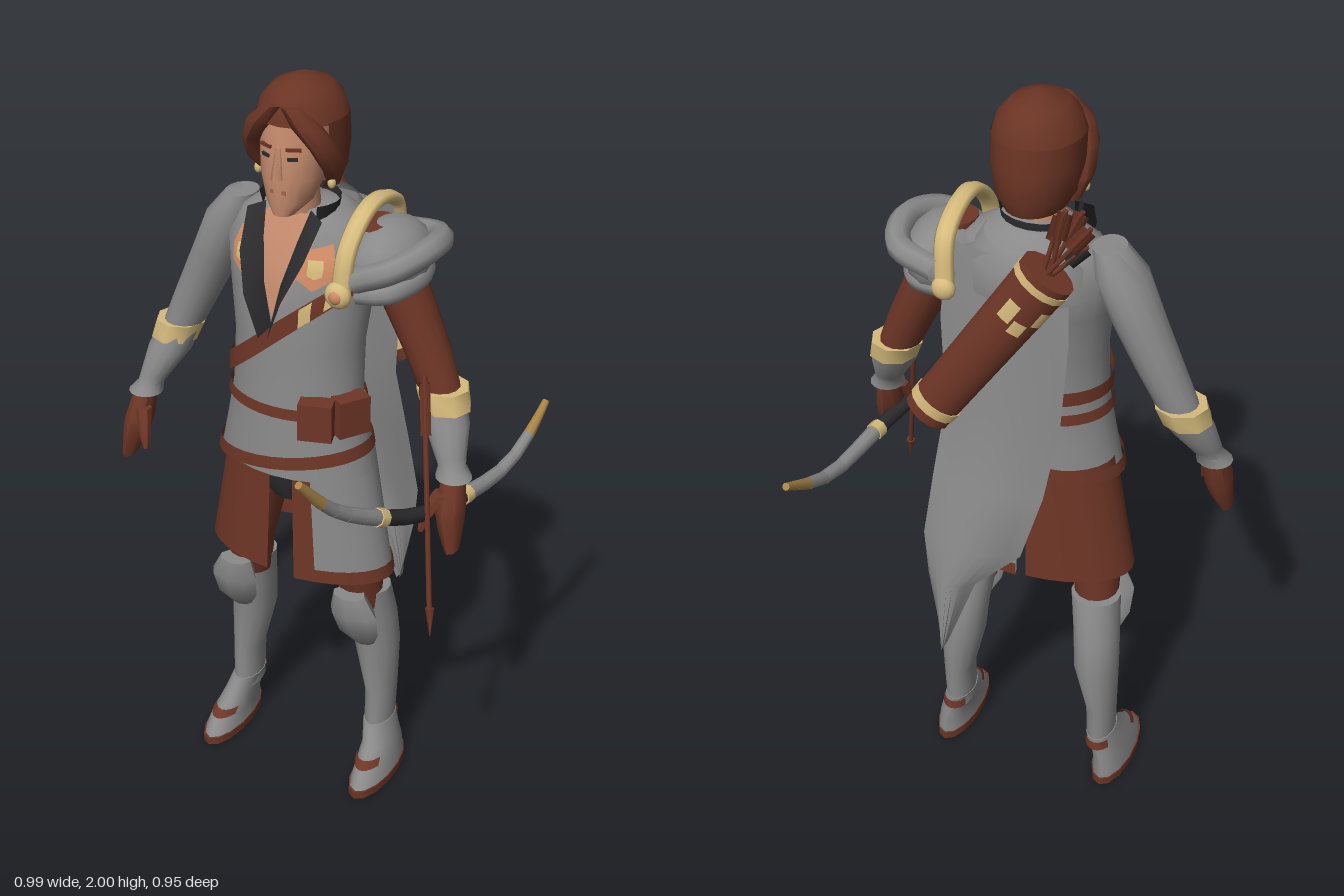
import * as THREE from 'three';
import { toCreasedNormals } from 'three/addons/utils/BufferGeometryUtils.js';

export function createModel() {
  const root = new THREE.Group();
  const mat = (name, color) => new THREE.MeshStandardMaterial({ name, color, side: THREE.DoubleSide });
  const grey = mat('grey cloth', 0x8a8a8a), brown = mat('brown leather', 0x6e3626), gold = mat('pale gold', 0xd6bb7c);
  const skin = mat('skin', 0xc48a6c), black = mat('black cloth', 0x2b2b2d), salmon = mat('salmon lining', 0xd08a64);
  const tan = mat('tan horn', 0xa98546), hairBrown = mat('hair', 0x6a3424), lip = mat('lips', 0xa8624c);

  const add = (name, geo, m, parent = root) => {
    const mesh = new THREE.Mesh(geo, m);
    mesh.name = name;
    parent.add(mesh);
    return mesh;
  };

  // Surface through rows of points (rows run upward, points run from front toward +x)
  function grid(name, m, rows) {
    const w = rows[0].length, idx = [];
    for (let i = 0; i < rows.length - 1; i++) for (let j = 0; j < w - 1; j++) {
      const a = i * w + j, c = a + w;
      idx.push(a, a + 1, c, a + 1, c + 1, c);
    }
    const g = new THREE.BufferGeometry();
    g.setAttribute('position', new THREE.Float32BufferAttribute(rows.flat(2), 3));
    g.setIndex(idx);
    return add(name, toCreasedNormals(g, 0.9), m);
  }

  // Elliptical rings [x, y, z, rx, rz], optionally an open arc; closed ones get caps
  const oval = ([x, y, z, rx, rz], a) => [x + rx * Math.sin(a), y, z + rz * Math.cos(a)];
  function loft(name, m, rings, s = 1, a0 = 0, a1 = Math.PI * 2, n = 14) {
    let r = rings.map(([x, ...rest]) => [x * s, ...rest]);
    if (r[0][1] > r[r.length - 1][1]) r.reverse();
    if (a1 - a0 > 6.28) {
      const cap = (q) => [q[0], q[1], q[2], 0, 0];
      r = [cap(r[0]), ...r, cap(r[r.length - 1])];
    }
    return grid(name, m, r.map((q) => Array.from({ length: n + 1 }, (_, j) => oval(q, a0 + (a1 - a0) * j / n))));
  }

  // Tapered rod between two points
  function rod(name, m, a, b, ra, rb = ra, n = 6) {
    const A = new THREE.Vector3(...a), B = new THREE.Vector3(...b), d = B.clone().sub(A);
    const mesh = add(name, new THREE.CylinderGeometry(rb, ra, d.length(), n), m);
    mesh.position.copy(A).add(B).multiplyScalar(0.5);
    mesh.quaternion.setFromUnitVectors(new THREE.Vector3(0, 1, 0), d.normalize());
    return mesh;
  }
  const curve = (pts) => new THREE.CatmullRomCurve3(pts.map((p) => new THREE.Vector3(...p)));
  const ball = (name, m, p, sx, sy, sz) => {
    const mesh = add(name, new THREE.SphereGeometry(1, 14, 10), m);
    mesh.position.set(...p);
    mesh.scale.set(sx, sy, sz);
    return mesh;
  };

  // Torso, with a helper that lays thin patches over it
  const torso = [[0, 1.0, -.02, .21, .14], [0, 1.1, -.02, .19, .135], [0, 1.2, -.02, .172, .13], [0, 1.35, -.03, .17, .13],
    [0, 1.48, -.04, .185, .14], [0, 1.58, -.06, .205, .135], [0, 1.65, -.07, .17, .11], [0, 1.69, -.06, .09, .08]];
  loft('tunic', grey, torso, 1, 0, Math.PI * 2, 24);
  const onTorso = (a, y, o) => {
    let i = 0;
    while (i < torso.length - 2 && torso[i + 1][1] < y) i++;
    const p = torso[i], q = torso[i + 1], t = (y - p[1]) / (q[1] - p[1]);
    const r = p.map((v, k) => v + (q[k] - v) * t);
    return oval([0, y, r[2], r[3] + o, r[4] + o], a);
  };
  function patch(name, m, a0, a1, low, high, o = .008) {
    const n = Math.max(6, Math.ceil((a1 - a0) / .2));
    grid(name, m, [0, .25, .5, .75, 1].map((v) => Array.from({ length: n + 1 }, (_, j) => {
      const a = a0 + (a1 - a0) * j / n;
      return onTorso(a, low(a) + (high(a) - low(a)) * v, o);
    })));
  }
  const band = (name, m, a0, a1, mid, w, o) => patch(name, m, a0, a1, (a) => mid(a) - w / 2, (a) => mid(a) + w / 2, o);
  band('tunicHem', brown, 0, Math.PI * 2, (a) => 1.04 + .035 * Math.sin(a), .035);
  band('belt', brown, 0, Math.PI * 2, (a) => 1.185, .03);
  const strapY = (a) => 1.395 + .16 * Math.sin(a);
  band('chestStrap', brown, -1.15, 1.1, strapY, .055, .012);
  band('strapOrnament', gold, .35, .5, strapY, .05, .016);
  band('strapOrnament', gold, .66, .78, strapY, .04, .016);
  band('backStrap', brown, -2.9, -1.15, (a) => 1.25, .04, .01);
  patch('bareChest', skin, -.5, .5, (a) => 1.43 + Math.abs(a) * .45, () => 1.685);
  for (const s of [-1, 1]) {
    const c = s * .47;
    patch('lapel', salmon, c - .22, c + .22, (a) => 1.52 + .12 * Math.abs(a - c), (a) => 1.61 + .05 * (Math.abs(a) - .3), .013);
    patch('lapelOrnament', gold, c - .1, c + .08, (a) => 1.55 + .1 * Math.abs(a - c), () => 1.595, .018);
    // Dark V collar standing off the chest
    grid('collarFront', black, [
      [[0, 1.42, .115], [s * .012, 1.405, .16]], [[s * .022, 1.53, .11], [s * .05, 1.51, .16]],
      [[s * .045, 1.63, .07], [s * .085, 1.6, .115]], [[s * .06, 1.7, .03], [s * .1, 1.685, .05]]]);
  }
  loft('collarBack', black, [[0, 1.62, -.04, .08, .075], [0, 1.71, -.03, .1, .09]], 1, .85, Math.PI * 2 - .85);
  loft('cowl', grey, [[0, 1.55, -.1, .17, .125], [0, 1.63, -.1, .15, .135], [0, 1.68, -.09, .11, .11]], 1, .9, Math.PI * 2 - .9);
  for (const [x, z, r] of [[.115, .1, .3], [.175, .035, 1]]) {
    const pouch = add('pouch', new THREE.BoxGeometry(.085, .1, .05), brown);
    pouch.position.set(x, 1.185, z);
    pouch.rotation.y = r;
  }

  // Head
  loft('neck', skin, [[0, 1.58, -.03, .06, .06], [0, 1.74, -.015, .05, .055]]);
  loft('face', skin, [[0, 1.69, .05, .026, .03], [0, 1.72, .02, .055, .063], [0, 1.78, 0, .077, .085],
    [0, 1.85, -.01, .085, .09], [0, 1.93, -.02, .08, .085]], 1, 0, Math.PI * 2, 18);
  loft('nose', skin, [[0, 1.785, .078, .016, .026], [0, 1.8, .078, .014, .022], [0, 1.86, .073, .008, .01]], 1, 0, Math.PI * 2, 6);
  add('mouth', new THREE.BoxGeometry(.04, .01, .008), lip).position.set(0, 1.752, .078);
  loft('hairTop', hairBrown, [[0, 1.91, -.04, .108, .118], [0, 1.95, -.04, .095, .108], [0, 1.98, -.04, .068, .08], [0, 2, -.04, .02, .025]], 1, 0, Math.PI * 2, 18);
  loft('hairBack', hairBrown, [[0, 1.74, -.055, .075, .1], [0, 1.78, -.05, .098, .12], [0, 1.85, -.045, .108, .125], [0, 1.915, -.04, .108, .12]], 1, 1.1, Math.PI * 2 - 1.1);
  for (const s of [-1, 1]) {
    loft('hairLock', hairBrown, [[.02, 1.955, .055, .025, .025], [.06, 1.91, .05, .037, .035], [.09, 1.86, .028, .027, .042],
      [.1, 1.8, -.01, .02, .045], [.085, 1.75, -.035, .014, .02]], s, 0, Math.PI * 2, 8);
    const brow = add('eyebrow', new THREE.BoxGeometry(.036, .007, .008), hairBrown);
    brow.position.set(s * .036, 1.858, .07);
    brow.rotation.y = s * .4;
    const eye = add('eye', new THREE.BoxGeometry(.024, .008, .006), black);
    eye.position.set(s * .035, 1.836, .073);
    eye.rotation.y = s * .4;
    ball('earring', gold, [s * .098, 1.765, .0], .01, .014, .01);
  }

  // Arms, hands, legs and feet
  for (const s of [-1, 1]) {
    loft('upperArm', s > 0 ? brown : grey, [[.185, 1.665, -.07, .04, .05], [.213, 1.6, -.07, .066, .075], [.265, 1.48, -.075, .066, .066],
      [.322, 1.36, -.075, .06, .058], [.375, 1.24, -.065, .052, .05]], s);
    loft('forearm', grey, [[.372, 1.25, -.065, .056, .056], [.397, 1.19, -.045, .058, .056], [.425, 1.12, -.015, .04, .042],
      [.435, 1.095, -.005, .034, .036], [.445, 1.07, .005, .046, .045]], s);
    const cuff = loft('elbowCuff', gold, [[.388, 1.215, -.06, .064, .064], [.372, 1.265, -.068, .068, .066]], s, 0, Math.PI * 2, 8);
    cuff.position.y = .005;
    loft('hand', brown, [[.445, 1.08, .005, .03, .03], [.452, 1.0, .03, .036, .052], [.46, .95, .04, .03, .046], [.472, .895, .055, .016, .03]], s, 0, Math.PI * 2, 8);
    loft('thumb', brown, [[.43, 1.04, .045, .022, .022], [.407, .98, .078, .015, .016], [.4, .945, .085, .008, .01]], s, 0, Math.PI * 2, 6);

    loft('thigh', brown, [[.11, .97, -.04, .08, .1], [.14, .8, -.04, .075, .09], [.162, .67, -.045, .064, .072], [.172, .56, -.07, .055, .055]], s);
    loft('boot', grey, [[.21, .12, -.11, .036, .062], [.21, .25, -.115, .04, .06], [.193, .4, -.118, .06, .07],
      [.187, .5, -.105, .062, .068], [.174, .61, -.08, .066, .062]], s);
    loft('kneePlate', grey, [[.19, .445, -.04, .03, .02], [.186, .5, -.01, .06, .035], [.182, .57, .012, .067, .042], [.172, .63, .018, .045, .032]], s, 0, Math.PI * 2, 8);
    loft('foot', grey, [[.234, .018, -.05, .051, .135], [.232, .06, -.065, .045, .115], [.224, .1, -.092, .041, .082], [.21, .155, -.11, .039, .066]], s);
    loft('sole', brown, [[.234, 0, -.05, .053, .139], [.234, .022, -.05, .053, .139]], s);
    loft('heelStrap', brown, [[.214, .125, -.11, .044, .074], [.212, .15, -.11, .042, .07]], s, 2.3, 4, 6);
    loft('instepStrap', brown, [[.23, .068, -.065, .046, .113], [.227, .085, -.075, .045, .1]], s, -.9, .9, 6);
  }

  // Split skirt, brown on one side and grey with a brown border on the other
  const skirt = (y, o = 0) => {
    const t = (1.04 - y) / .35;
    return [0, y, -.04, .2 + .06 * t + o, .125 + .01 * t + o];
  };
  const skirtPart = (name, m, y0, y1, a0, a1, o) => loft(name, m, [skirt(y0, o), skirt(y1, o)], 1, a0, a1);
  skirtPart('rightSkirt', brown, .69, 1.04, -Math.PI + .05, -.12);
  skirtPart('leftSkirt', grey, .69, 1.05, .2, Math.PI - .05);
  skirtPart('leftSkirtHem', brown, .688, .725, .2, Math.PI - .05, .005);
  skirtPart('leftSkirtBorder', brown, .69, 1.04, .19, .42, .005);
  loft('shorts', black, [[0, .89, -.04, .08, .09], [0, .95, -.04, .15, .11], [0, 1.03, -.04, .17, .11]]);

  // Pointed half cape: rows of [y, right edge, left edge, z]
  const cape = [[.49, .165, .172, -.285], [.7, .09, .22, -.265], [.82, -.03, .235, -.25], [1, -.08, .215, -.22],
    [1.2, -.11, .19, -.185], [1.45, -.13, .195, -.185], [1.66, -.12, .18, -.165]];
  grid('cape', grey, cape.map(([y, r, l, z]) => Array.from({ length: 9 }, (_, j) =>
    [l + (r - l) * j / 8, y, z - .035 * Math.sin(Math.PI * j / 8)])));

  // Left shoulder armour with a gold arch
  ball('pauldronDome', grey, [.215, 1.575, -.08], .1, .095, .135);
  const rim = (pts, r) => add('pauldronRim', new THREE.TubeGeometry(curve(pts), 20, r, 8), grey);
  rim([[.19, 1.56, .06], [.28, 1.6, .045], [.33, 1.625, -.06], [.3, 1.61, -.17], [.19, 1.59, -.205]], .032);
  rim([[.19, 1.52, .04], [.26, 1.53, .03], [.292, 1.535, -.08], [.26, 1.53, -.165], [.19, 1.53, -.18]], .028);
  const arch = add('shoulderArch', new THREE.TubeGeometry(curve([[0, 1.53, .085], [.002, 1.63, .065], [.006, 1.7, .0],
    [.006, 1.712, -.08], [.004, 1.67, -.18], [0, 1.55, -.21]]), 24, .016, 8), gold);
  arch.scale.x = 1.6;
  arch.position.x = .17;
  ball('frontMedallion', gold, [.165, 1.53, .09], .034, .034, .022);
  ball('medallionCentre', salmon, [.165, 1.53, .1], .02, .02, .016);
  ball('backMedallion', gold, [.17, 1.55, -.215], .03, .03, .02);

  // Quiver slung across the back
  const quiver = new THREE.Group();
  quiver.name = 'quiver';
  quiver.position.set(.045, 1.455, -.265);
  quiver.rotation.z = .593;
  quiver.scale.z = .68;
  root.add(quiver);
  const tube = (name, m, y, h, r) => { add(name, new THREE.CylinderGeometry(r + h * .015, r, h, 14), m, quiver).position.y = y; };
  tube('quiverBody', brown, 0, .56, .06);
  tube('quiverLowerRing', gold, -.235, .03, .0635);
  tube('quiverUpperRing', gold, .25, .02, .07);
  for (const [a, y, w] of [[2.7, .16, .06], [3.3, .13, .04], [3.9, .18, .05]]) {
    const spot = add('quiverOrnament', new THREE.CylinderGeometry(.069, .069, w, 6, 1, true, a, .5), gold, quiver);
    spot.position.y = y;
  }
  const fletch = (m, p, q) => {
    const vane = rod('fletching', m, p, q, .018, .018, 4);
    vane.scale.x = .12;
    const cross = rod('fletching', m, p, q, .018, .018, 4);
    cross.scale.z = .12;
  };
  [[-.215, 1.83, -.28], [-.185, 1.85, -.25], [-.155, 1.86, -.275], [-.2, 1.77, -.26], [-.135, 1.83, -.25]].forEach((tip, i) => {
    const base = [-.06 - i % 3 * .02, 1.62, -.265];
    const at = (t) => base.map((v, k) => v + (tip[k] - v) * t);
    rod('quiverArrow', brown, base, tip, .006);
    fletch(i === 3 ? black : brown, at(.68), at(.97));
  });

  // Bow held in the left hand
  const bow = curve([[.27, 1.25, .47], [.305, 1.13, .36], [.355, 1.045, .22], [.395, .995, .1], [.425, .975, 0],
    [.45, .965, -.12], [.465, .955, -.22], [.48, .975, -.33], [.49, 1.03, -.43], [.492, 1.055, -.47]]);
  for (const [name, m, t0, t1, r0, r1] of [['bowTip', tan, 0, .1, .01, .016], ['bowLimb', grey, .1, .3, .016, .021],
    ['bowRing', gold, .3, .325, .024, .024], ['bowGrip', black, .325, .6, .02, .02], ['bowRing', gold, .6, .625, .024, .024],
    ['bowLimb', grey, .625, .9, .021, .016], ['bowTip', tan, .9, 1, .016, .01]]) {
    for (let i = 0; i < 4; i++) {
      const f = (k) => bow.getPointAt(t0 + (t1 - t0) * k / 4).toArray(), r = (k) => r0 + (r1 - r0) * k / 4;
      rod(name, m, f(i), f(i + 1), r(i), r(i + 1), 8);
    }
  }

  // Loose arrow in the same hand
  rod('heldArrow', brown, [.357, 1.33, .008], [.465, .74, .155], .007);
  rod('arrowHead', brown, [.461, .77, .148], [.473, .7, .166], .012, .001);
  fletch(brown, [.36, 1.31, .012], [.383, 1.19, .043]);
  return root;
}
